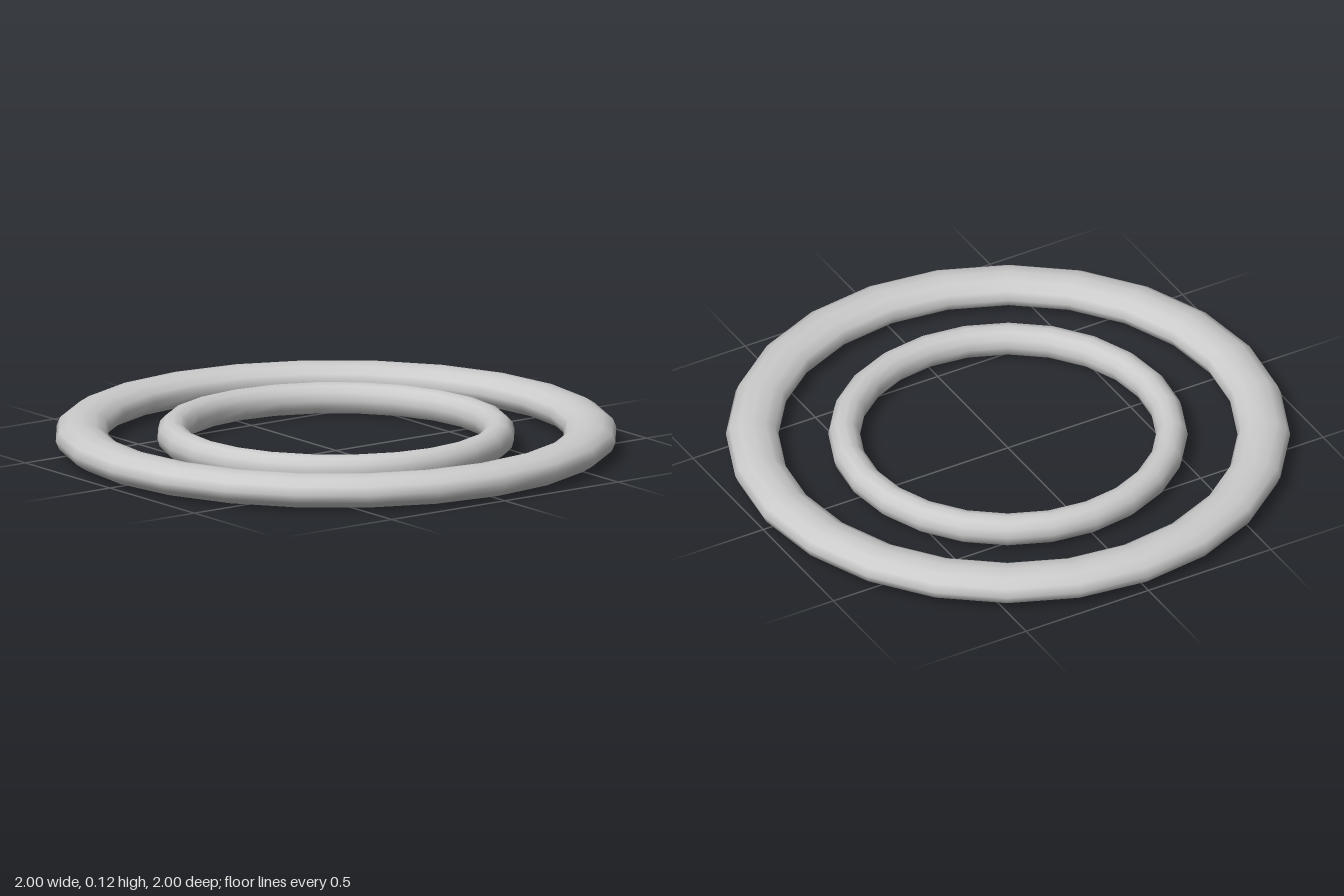
import * as THREE from 'three';

const HALF_HEIGHT = 0.06;

// A horizontal ring with an elliptical cross-section, standing on y = 0
function makeRing(name, innerRadius, outerRadius, halfHeight, material) {
  const tube = (outerRadius - innerRadius) / 2;
  const geometry = new THREE.TorusGeometry(innerRadius + tube, tube, 12, 24);
  geometry.rotateX(-Math.PI / 2);
  geometry.scale(1, halfHeight / tube, 1);
  const ring = new THREE.Mesh(geometry, material);
  ring.name = name;
  ring.position.y = HALF_HEIGHT;
  return ring;
}

export function createModel() {
  const group = new THREE.Group();
  group.name = 'concentricRings';
  const material = new THREE.MeshStandardMaterial({ color: 0xcccccc });

  // Wide flattened outer ring and slim round inner ring, sharing one centre
  group.add(makeRing('outerRing', 0.813, 1, HALF_HEIGHT, material));
  group.add(makeRing('innerRing', 0.524, 0.637, 0.057, material));
  return group;
}
